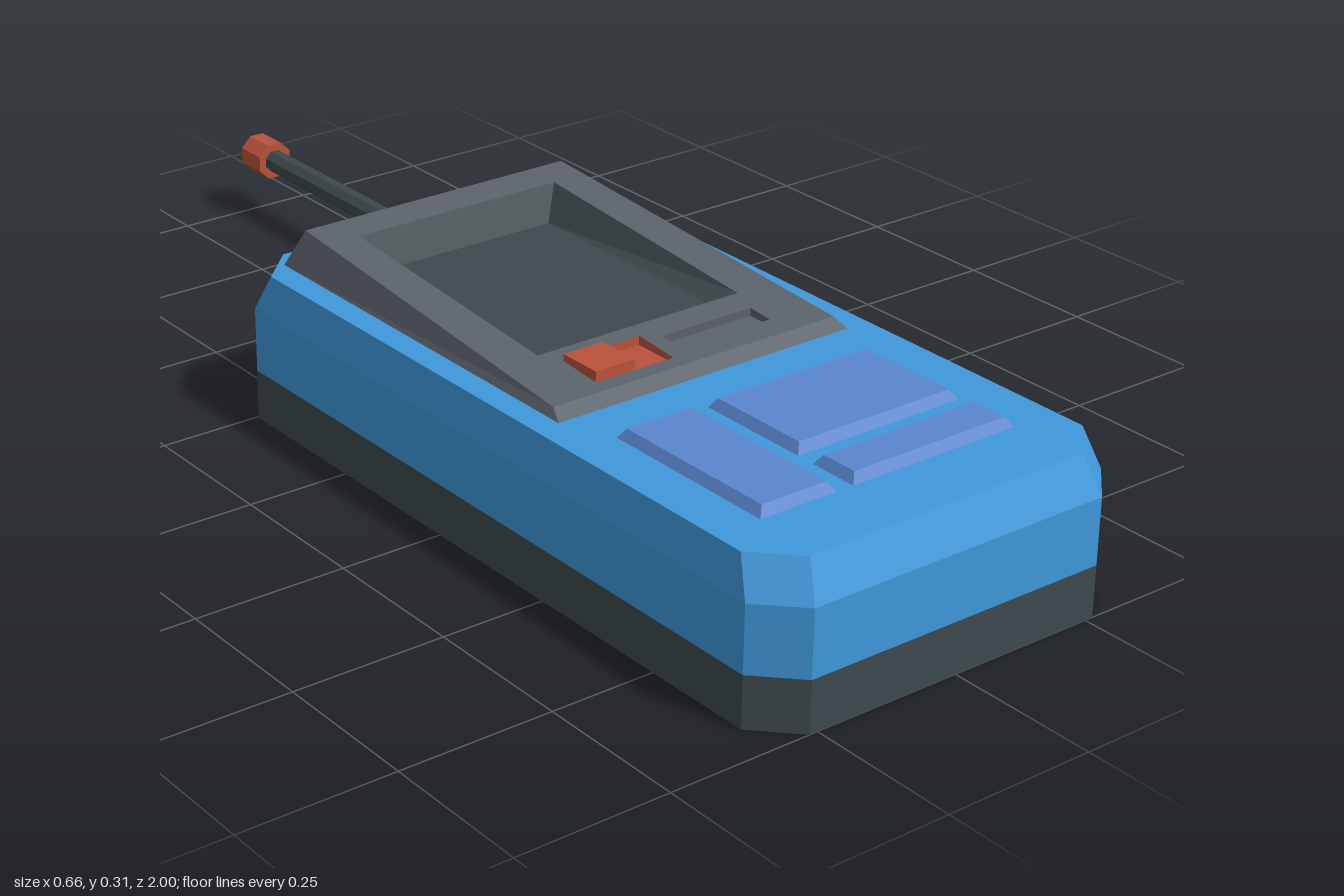
import * as THREE from 'three';

const mat = (name, color) => {
  const m = new THREE.MeshStandardMaterial({ color });
  m.name = name;
  return m;
};

// Rings run counter-clockwise seen from above, starting at +x +z.
const rect = (x0, x1, z0, z1, y, y1 = y) =>
  [[x1, y1, z1], [x1, y, z0], [x0, y, z0], [x0, y1, z1]];

const octagon = (x, z0, z1, c, y) => [
  [x - c, y, z1], [x, y, z1 - c], [x, y, z0 + c], [x - c, y, z0],
  [c - x, y, z0], [-x, y, z0 + c], [-x, y, z1 - c], [c - x, y, z1]];

// Flat-faced skin through a stack of rings, with optional end caps
function loft(rings, capStart = false, capEnd = false) {
  const pos = [];
  const tri = (a, b, c) => pos.push(...a, ...b, ...c);
  const n = rings[0].length;
  for (let r = 0; r + 1 < rings.length; r++) {
    const a = rings[r], b = rings[r + 1];
    for (let i = 0; i < n; i++) {
      const j = (i + 1) % n;
      tri(a[i], a[j], b[j]);
      tri(a[i], b[j], b[i]);
    }
  }
  const first = rings[0], last = rings[rings.length - 1];
  for (let i = 1; i < n - 1; i++) {
    if (capStart) tri(first[0], first[i + 1], first[i]);
    if (capEnd) tri(last[0], last[i], last[i + 1]);
  }
  const g = new THREE.BufferGeometry();
  g.setAttribute('position', new THREE.Float32BufferAttribute(pos, 3));
  g.computeVertexNormals();
  return g;
}

// Sloping face of the screen housing
const slopeY = z => 0.264 + (0.44 - z) * 0.049 / 0.655;
const onSlope = (x0, x1, z0, z1) => rect(x0, x1, z0, z1, slopeY(z0), slopeY(z1));

export function createModel() {
  const model = new THREE.Group();
  const blue = mat('blue shell', 0x3f97da);
  const dark = mat('dark grey', 0x3e494d);
  const grey = mat('bezel grey', 0x5b626b);
  const padBlue = mat('button blue', 0x5a86cf);
  const red = mat('red', 0xb9523b);

  const add = (name, geometry, material, parent = model) => {
    const m = new THREE.Mesh(geometry, material);
    m.name = name;
    parent.add(m);
    return m;
  };

  // Body: dark base and blue upper shell with a sloped shoulder
  const outline = y => octagon(0.328, -0.31, 1, 0.064, y);
  add('base', loft([outline(0), outline(0.083)], true), dark);
  add('shell', loft([outline(0.083), outline(0.19),
    octagon(0.314, -0.282, 0.972, 0.064, 0.25)], false, true), blue);

  // Screen housing: outer walls, then a sloping face with three openings
  const housing = new THREE.Group();
  housing.name = 'screenHousing';
  model.add(housing);
  const top = onSlope(-0.25, 0.25, -0.215, 0.44);
  top[0][0] = 0.264;
  top[3][0] = -0.264;
  add('housingWalls', loft([rect(-0.272, 0.272, -0.245, 0.463, 0.25), top]), grey, housing);

  const screenHole = [-0.19, 0.19, -0.155, 0.305];
  const switchHole = [-0.168, -0.025, 0.335, 0.415];
  const slotHole = [0.003, 0.175, 0.353, 0.397];
  const flat = ring => ring.map(p => new THREE.Vector2(p[0], -p[2]));
  const face = new THREE.Shape(flat(top));
  for (const h of [screenHole, switchHole, slotHole])
    face.holes.push(new THREE.Path(flat(onSlope(...h))));
  const faceGeo = new THREE.ShapeGeometry(face).rotateX(-Math.PI / 2);
  const p = faceGeo.attributes.position;
  for (let i = 0; i < p.count; i++) p.setY(i, slopeY(p.getZ(i)));
  faceGeo.computeVertexNormals();
  add('housingFace', faceGeo, grey, housing);

  // Recessed screen and slots
  const screenFloor = rect(-0.16, 0.16, -0.13, 0.283, 0.253);
  add('screenWalls', loft([onSlope(...screenHole), screenFloor]), dark, housing);
  add('screen', loft([screenFloor], false, true), dark, housing);
  add('slot', loft([onSlope(...slotHole), rect(...slotHole, 0.257)], false, true), grey, housing);
  add('switchRecess', loft([onSlope(...switchHole), rect(...switchHole, 0.257)], false, true), red, housing);
  add('switchKnob', loft([rect(-0.167, -0.095, 0.337, 0.413, 0.256),
    rect(-0.167, -0.095, 0.337, 0.413, 0.282)], false, true), red, housing);

  // Bevelled keypad buttons
  const keys = [
    [-0.235, -0.1, 0.548, 0.855],
    [-0.07, 0.233, 0.548, 0.742],
    [-0.07, 0.233, 0.773, 0.855]];
  for (const [x0, x1, z0, z1] of keys) {
    const b = 0.01;
    add('keyButton', loft([rect(x0, x1, z0, z1, 0.25),
      rect(x0 + b, x1 - b, z0 + b, z1 - b, 0.265)], false, true), padBlue);
  }

  // Eight-sided antenna pointing backwards
  const antenna = new THREE.Group();
  antenna.name = 'antenna';
  antenna.position.set(0.153, 0.11, 0);
  model.add(antenna);
  const prism = (name, halfWidth, z0, z1, material) => {
    const r = halfWidth / Math.cos(Math.PI / 8);
    const g = new THREE.CylinderGeometry(r, r, z0 - z1, 8).toNonIndexed();
    g.rotateY(Math.PI / 8).rotateX(-Math.PI / 2).translate(0, 0, (z0 + z1) / 2);
    g.computeVertexNormals();
    add(name, g, material, antenna);
  };
  prism('antennaSocket', 0.048, -0.3, -0.467, dark);
  prism('antennaRod', 0.019, -0.46, -0.95, dark);
  prism('antennaTip', 0.032, -0.94, -1, red);

  return model;
}
